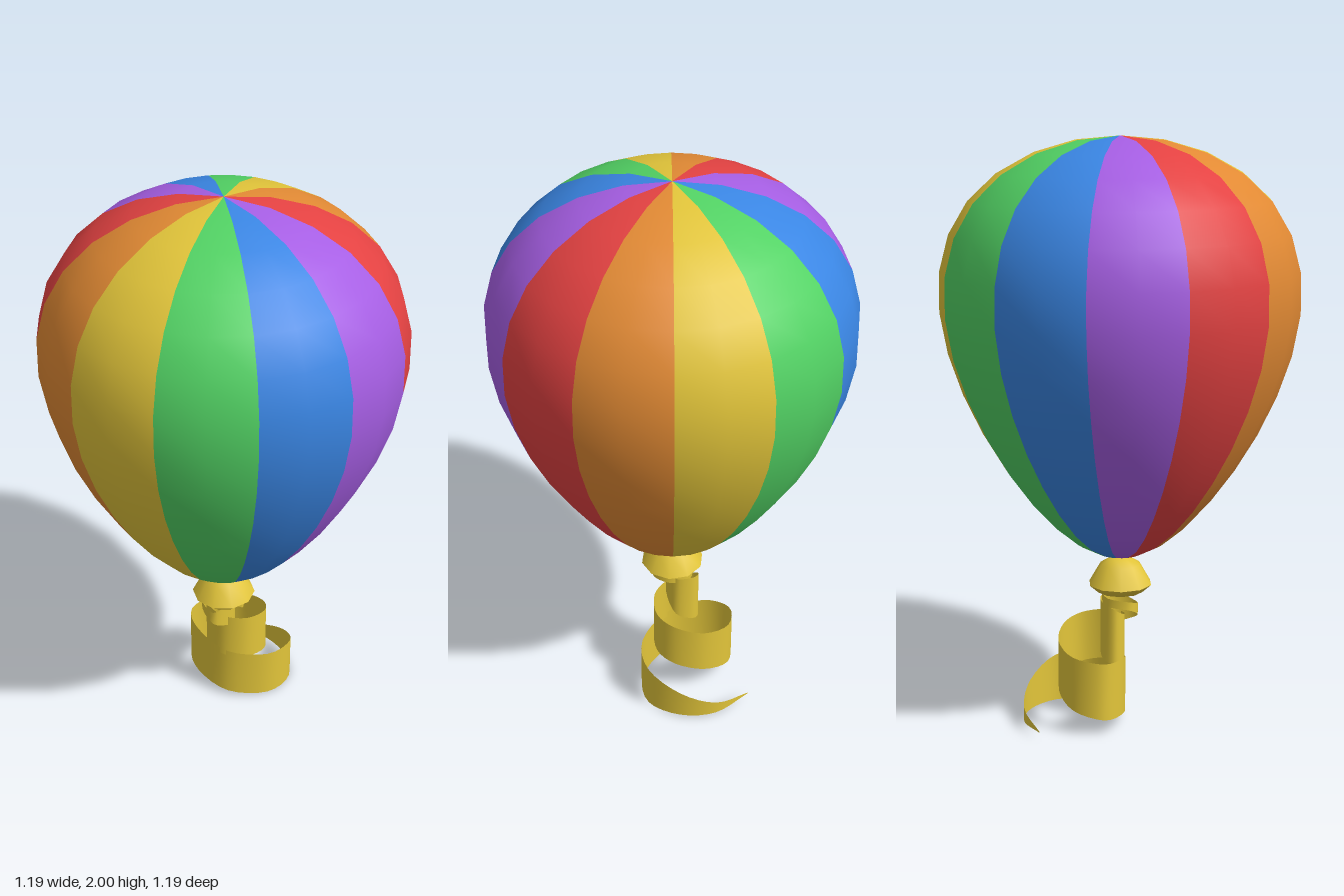
import * as THREE from 'three';

const paint = (name, color) => {
  const m = new THREE.MeshStandardMaterial({ color });
  m.name = name;
  return m;
};

export function createModel() {
  const group = new THREE.Group();
  const yellow = paint('yellow', 0xe2c53a);
  const gores = [
    paint('green', 0x52d264), paint('blue', 0x3a86e4), paint('purple', 0xa65ee4),
    paint('red', 0xe44242), paint('orange', 0xe28a34), yellow,
  ];
  const ribbonYellow = yellow.clone();
  ribbonYellow.name = 'ribbonYellow';
  ribbonYellow.side = THREE.DoubleSide;

  const add = (name, geometry, material) => {
    const mesh = new THREE.Mesh(geometry, material);
    mesh.name = name;
    group.add(mesh);
  };
  const profile = (pairs) => pairs.map(([r, y]) => new THREE.Vector2(r, y));

  // Envelope: a sixteen-ring sphere that tapers downwards, in twelve gores two facets wide
  const envelope = [];
  for (let i = 0; i <= 16; i++) {
    const a = (i / 16) * Math.PI, up = -Math.cos(a);
    envelope.push(new THREE.Vector2(0.572 * Math.sin(a) * (1 + 0.33 * up), 1.29 + 0.71 * up));
  }
  const step = Math.PI / 6;
  for (let i = 0; i < 12; i++) {
    add('gore' + (i + 1), new THREE.LatheGeometry(envelope, 2, i * step, step), gores[i % 6]);
  }

  // Knot: flared skirt under the envelope with a tucked-in base
  add('knotSkirt', new THREE.LatheGeometry(
    profile([[0.11, 0.484], [0.07, 0.553], [0.035, 0.575], [0, 0.582]]), 10), yellow);
  add('knotBase', new THREE.LatheGeometry(
    profile([[0, 0.455], [0.08, 0.457], [0.11, 0.484]]), 10), yellow);

  // Curled ribbon: x, y, z of the centre line and half its height, from tail to knot
  const path = [
    [-0.12, 0.03, -0.335, 0.002], [0.02, 0.04, -0.345, 0.025], [0.135, 0.065, -0.285, 0.055],
    [0.2, 0.09, -0.17, 0.085], [0.155, 0.1, -0.05, 0.092], [0.02, 0.12, 0.012, 0.095],
    [-0.11, 0.15, -0.03, 0.1], [-0.17, 0.16, -0.12, 0.1], [-0.11, 0.18, -0.21, 0.095],
    [0, 0.21, -0.225, 0.09], [0.09, 0.24, -0.175, 0.09], [0.122, 0.26, -0.1, 0.09],
    [0.085, 0.275, -0.02, 0.09], [0.01, 0.285, 0.012, 0.09], [-0.06, 0.3, -0.01, 0.09],
    [-0.08, 0.315, -0.05, 0.1], [-0.04, 0.335, -0.08, 0.1], [0.02, 0.355, -0.06, 0.085],
    [0.025, 0.385, 0, 0.055], [-0.02, 0.39, 0.055, 0.025], [-0.08, 0.42, 0.01, 0.015],
    [-0.04, 0.43, -0.06, 0.015], [0.04, 0.438, -0.05, 0.015], [0.075, 0.445, 0.01, 0.012],
    [0, 0.455, 0.02, 0.01],
  ];
  const edge = (side) => new THREE.CatmullRomCurve3(
    path.map(([x, y, z, h]) => new THREE.Vector3(x, y + side * h, z)), false, 'catmullrom', 0.5);
  const lower = edge(-1), upper = edge(1);
  const segments = 96, positions = [], index = [];
  for (let i = 0; i <= segments; i++) {
    const a = lower.getPoint(i / segments), b = upper.getPoint(i / segments);
    positions.push(a.x, Math.max(a.y, 0), a.z, b.x, b.y, b.z);
    if (i < segments) {
      const k = i * 2;
      index.push(k, k + 1, k + 2, k + 1, k + 3, k + 2);
    }
  }
  const ribbon = new THREE.BufferGeometry();
  ribbon.setAttribute('position', new THREE.Float32BufferAttribute(positions, 3));
  ribbon.setIndex(index);
  ribbon.computeVertexNormals();
  add('ribbon', ribbon, ribbonYellow);

  return group;
}
